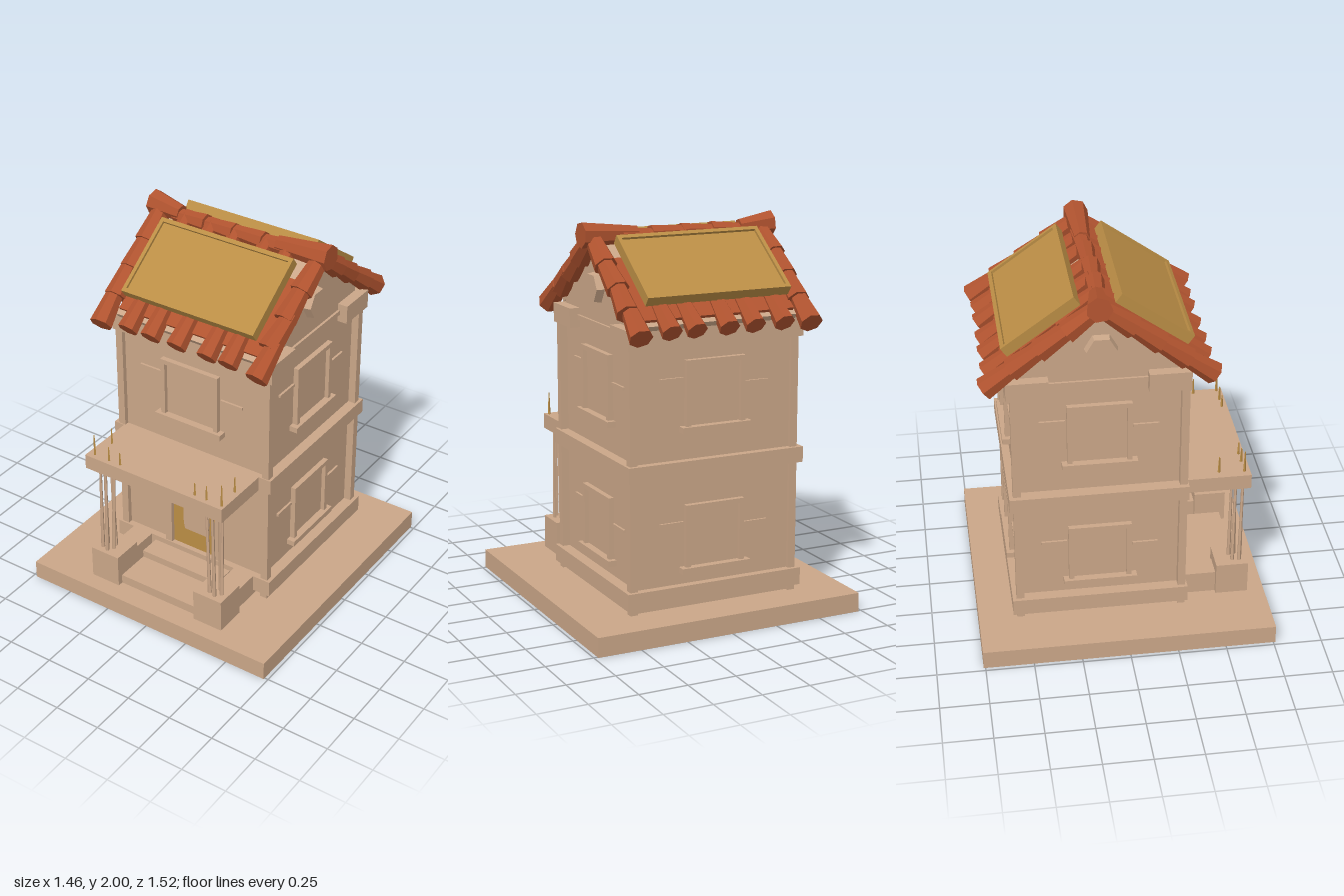
import * as THREE from 'three';

export function createModel() {
  const model = new THREE.Group();
  const mat = (name, color) => Object.assign(new THREE.MeshStandardMaterial({ color, flatShading: true }), { name });
  const plaster = mat('plaster', 0xcaa688);
  const clay = mat('clay', 0xb0532f);
  const gold = mat('ochre', 0xba8d45);

  const add = (name, geo, material, x = 0, y = 0, z = 0, parent = model) => {
    const mesh = new THREE.Mesh(geo, material);
    mesh.name = name;
    mesh.position.set(x, y, z);
    parent.add(mesh);
    return mesh;
  };
  // box given by its extents
  const block = (name, x0, x1, y0, y1, z0, z1, material = plaster, parent = model) =>
    add(name, new THREE.BoxGeometry(x1 - x0, y1 - y0, z1 - z0), material,
      (x0 + x1) / 2, (y0 + y1) / 2, (z0 + z1) / 2, parent);
  // tapered rod between two points
  const rod = (name, a, b, ra, rb, material, sides = 6) => {
    const p = new THREE.Vector3(...a), q = new THREE.Vector3(...b), d = q.clone().sub(p);
    const mesh = add(name, new THREE.CylinderGeometry(rb, ra, d.length(), sides), material);
    mesh.position.copy(p).add(q).multiplyScalar(0.5);
    mesh.quaternion.setFromUnitVectors(new THREE.Vector3(0, 1, 0), d.normalize());
    return mesh;
  };
  let seed = 7;
  const jitter = (amount) => {
    seed = (seed * 16807) % 2147483647;
    return (seed / 2147483647 - 0.5) * 2 * amount;
  };

  // ground slab
  block('groundSlab', -0.73, 0.73, 0, 0.1, -0.76, 0.76);

  // walls and gables in one side-on outline
  const zc = -0.12;
  const outline = new THREE.Shape([[0.3, 0.1], [0.3, 1.55], [zc, 1.87], [-0.54, 1.55], [-0.54, 0.1]]
    .map(([z, y]) => new THREE.Vector2(-z, y)));
  const walls = new THREE.ExtrudeGeometry(outline, { depth: 0.85, bevelEnabled: false });
  walls.rotateY(Math.PI / 2).translate(-0.425, 0, 0);
  add('walls', walls, plaster);

  // bands around the house
  block('plinth', -0.485, 0.485, 0.13, 0.22, -0.58, 0.335);
  block('floorBand', -0.49, 0.48, 0.78, 0.86, -0.58, 0.33);
  block('frontCornice', -0.48, 0.48, 1.43, 1.53, 0.12, 0.33);
  block('backCornice', -0.48, 0.48, 1.43, 1.53, -0.58, -0.37);
  block('sideMolding', -0.438, 0.438, 1.47, 1.495, -0.38, 0.13);

  // corner pilasters
  for (const x of [-0.445, 0.445]) for (const z of [-0.54, 0.305])
    for (const [y0, y1] of [[0.1, 0.79], [0.85, 1.44]])
      block('pilaster', x - 0.02, x + 0.02, y0, y1, z - 0.02, z + 0.02);

  // framed window facing +z, placed by rotation
  const windowUnit = (name, x, z, turn, y0, y1, w = 0.3) => {
    const group = new THREE.Group();
    group.name = name;
    group.position.set(x, 0, z);
    group.rotation.y = turn;
    const h = w / 2, t = 0.025;
    block('pane', -h, h, y0, y1, -0.01, 0.006, plaster, group);
    block('frameTop', -h, h, y1 - t, y1, 0, 0.028, plaster, group);
    block('sill', -h - 0.04, h + 0.04, y0 - 0.02, y0 + 0.01, -0.01, 0.045, plaster, group);
    for (const s of [-1, 1])
      block('frameSide', s * h - t / 2, s * h + t / 2, y0, y1, 0, 0.028, plaster, group);
    // grooved boards beside the window
    block('board', h + 0.02, h + 0.15, (y0 + y1) / 2 + 0.02, (y0 + y1) / 2 + 0.035, 0, 0.012, plaster, group);
    block('board', -h - 0.15, -h - 0.02, y1 - 0.1, y1 - 0.085, 0, 0.012, plaster, group);
    model.add(group);
  };
  for (const [y0, y1] of [[0.3, 0.63], [1.02, 1.36]]) {
    windowUnit('rightWindow', -0.425, -0.12, -Math.PI / 2, y0, y1);
    windowUnit('leftWindow', 0.425, -0.12, Math.PI / 2, y0, y1);
    windowUnit('backWindow', 0, -0.54, Math.PI, y0, y1);
  }
  windowUnit('frontWindow', -0.015, 0.3, 0, 1.02, 1.35, 0.32);

  // hexagonal gable vents
  for (const s of [-1, 1]) {
    const vent = add('gableVent', new THREE.CylinderGeometry(0.075, 0.085, 0.05, 6), plaster, s * 0.44, 1.67, -0.11);
    vent.rotation.z = -s * Math.PI / 2;
  }

  // front door with a rounded panel
  block('door', -0.135, 0.14, 0.19, 0.62, 0.295, 0.308, gold);
  const panelShape = new THREE.Shape();
  panelShape.moveTo(-0.06, 0.33).lineTo(0.09, 0.33).quadraticCurveTo(0.1, 0.42, 0.09, 0.51)
    .quadraticCurveTo(0.01, 0.53, -0.06, 0.51).quadraticCurveTo(-0.08, 0.42, -0.06, 0.33);
  add('doorPanel', new THREE.ExtrudeGeometry(panelShape, { depth: 0.008, bevelEnabled: false }), plaster, 0, 0, 0.306);
  block('doorJamb', -0.175, -0.135, 0.19, 0.65, 0.29, 0.33);
  block('doorJamb', 0.14, 0.165, 0.19, 0.65, 0.29, 0.33);
  block('doorLintel', -0.175, 0.165, 0.62, 0.65, 0.29, 0.33);

  // porch, step and balcony slab
  block('porchFloor', -0.24, 0.24, 0.1, 0.15, 0.3, 0.64);
  block('doorStep', -0.24, 0.24, 0.1, 0.19, 0.3, 0.45);
  block('balcony', -0.43, 0.41, 0.78, 0.86, 0.3, 0.66);
  for (const s of [-1, 1]) {
    block('porchWall', s * 0.325 - 0.06, s * 0.325 + 0.06, 0.1, 0.22, 0.3, 0.54);
    block('porchPier', s * 0.325 - 0.085, s * 0.325 + 0.085, 0.1, 0.28, 0.5, 0.67);
    // each post is a cluster of thin leaning rods
    for (let i = 0; i < 5; i++) {
      const a = i * Math.PI * 0.4, cx = s * 0.335 + Math.cos(a) * 0.035, cz = 0.61 + Math.sin(a) * 0.03;
      rod('porchPost', [cx + jitter(0.012), 0.27, cz], [cx + jitter(0.012), 0.79, cz + jitter(0.01)], 0.011, 0.007, plaster, 5);
    }
    // remaining railing spikes
    for (const [x, z, h] of [[0.39, 0.63, 0.12], [0.3, 0.63, 0.08], [0.23, 0.63, 0.07], [0.38, 0.5, 0.09]])
      rod('railSpike', [s * x, 0.85, z], [s * x, 0.86 + h, z], 0.008, 0.003, gold, 4);
  }

  // roof
  const angle = Math.atan2(0.39, 0.54);
  const ridgeY = 1.91;
  const onSlope = (s, d, x, lift = 0) => [x, ridgeY - d * Math.tan(angle) + lift, zc + s * d];
  const slab = (name, s, d0, d1, x0, x1, lift, thick, material) => {
    const mesh = add(name, new THREE.BoxGeometry(x1 - x0, thick, (d1 - d0) / Math.cos(angle)), material,
      ...onSlope(s, (d0 + d1) / 2, (x0 + x1) / 2, lift));
    mesh.rotation.x = s * angle;
  };
  for (const s of [-1, 1]) {
    slab('roofDeck', s, 0, 0.47, -0.43, 0.42, -0.035, 0.03, plaster);
    slab('tileBed', s, 0.11, 0.46, -0.42, 0.41, -0.008, 0.02, clay);
    // rows of barrel tiles running down the slope
    for (const x of [-0.32, -0.17, -0.02, 0.15, 0.29])
      for (let i = 0; i < 3; i++)
        rod('roofTile', onSlope(s, 0.19 + i * 0.175, x + jitter(0.01)),
          onSlope(s, i * 0.175, x + jitter(0.01), 0.01), 0.054, 0.036, clay, 7);
    // heavier overlapping tiles along the gable edges
    for (const x of [-0.475, 0.455])
      for (let i = 0; i < 4; i++)
        rod('edgeTile', onSlope(s, 0.16 + i * 0.133, x + jitter(0.012), 0.005),
          onSlope(s, i * 0.133, x + jitter(0.012), 0.01), 0.06, 0.042, clay, 7);
    // ochre panel with a raised rim
    slab('roofPanel', s, 0.105, 0.445, -0.395, 0.375, 0.075, 0.04, gold);
    slab('panelRim', s, 0.1, 0.118, -0.4, 0.38, 0.082, 0.055, gold);
    slab('panelRim', s, 0.437, 0.455, -0.4, 0.38, 0.082, 0.055, gold);
    slab('panelRim', s, 0.1, 0.455, -0.4, -0.38, 0.082, 0.055, gold);
    slab('panelRim', s, 0.1, 0.455, 0.36, 0.38, 0.082, 0.055, gold);
  }

  // ridge tiles with thicker ends
  for (let i = 0; i < 4; i++) {
    const x = -0.4 + i * 0.17;
    rod('ridgeTile', [x, 1.915 + jitter(0.008), zc], [x + 0.2, 1.915, zc + jitter(0.01)], 0.036, 0.05, clay, 7);
  }
  rod('ridgeEnd', [-0.54, 1.94, zc - 0.01], [-0.36, 1.925, zc], 0.065, 0.042, clay, 7);
  rod('ridgeEnd', [0.22, 1.925, zc], [0.52, 1.935, zc], 0.042, 0.066, clay, 7);

  return model;
}
